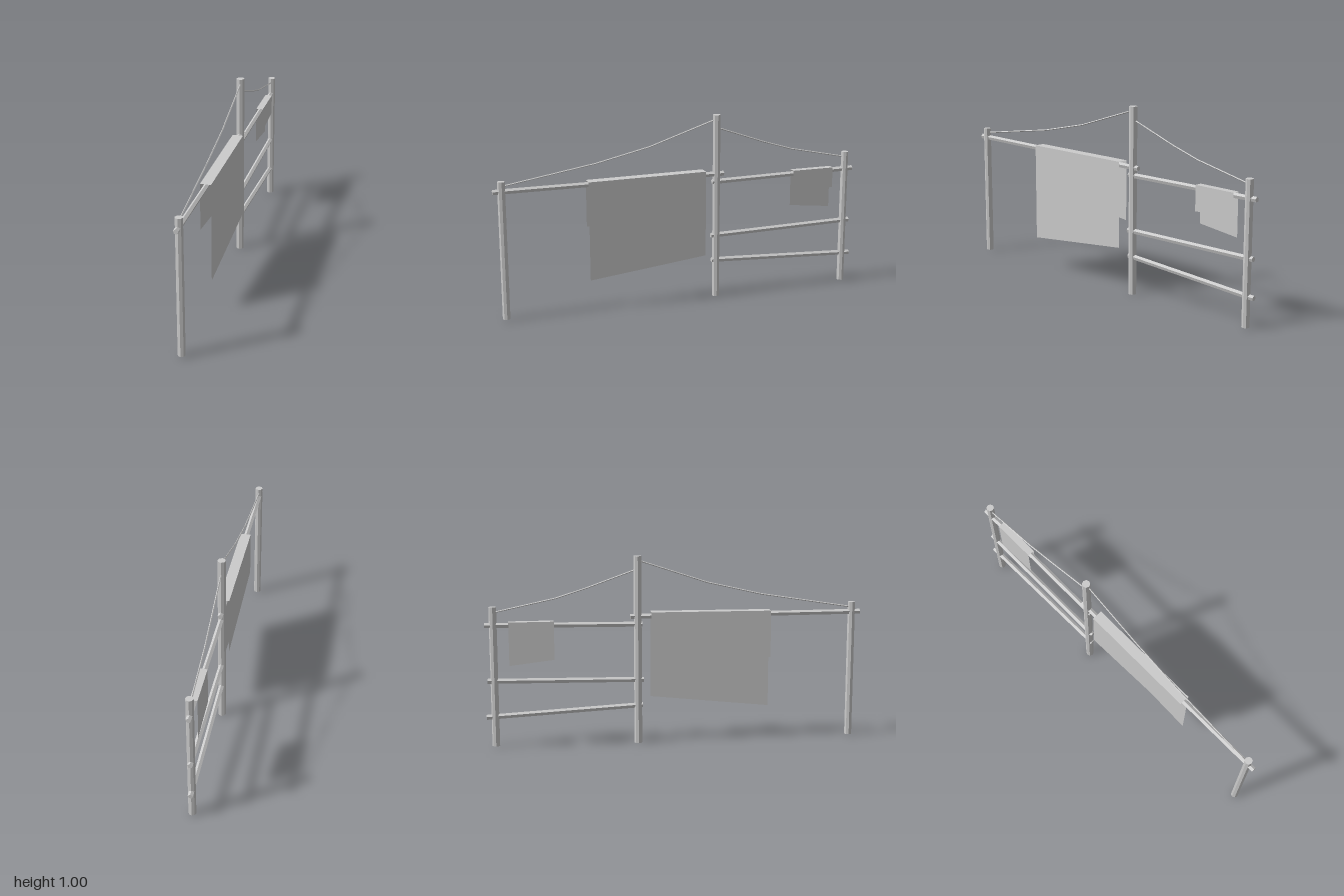
import * as THREE from 'three';

const mat = new THREE.MeshStandardMaterial({ color: 0xcccccc, flatShading: true });
const clothMat = new THREE.MeshStandardMaterial({ color: 0xcccccc, flatShading: true, side: THREE.DoubleSide });
const UP = new THREE.Vector3(0, 1, 0);

// Straight faceted pole between two points
function pole(name, a, b, radius, sides) {
  const from = new THREE.Vector3(...a), to = new THREE.Vector3(...b);
  const dir = to.clone().sub(from);
  const mesh = new THREE.Mesh(new THREE.CylinderGeometry(radius, radius, dir.length(), sides), mat);
  mesh.name = name;
  mesh.position.copy(from).add(to).multiplyScalar(0.5);
  mesh.quaternion.setFromUnitVectors(UP, dir.normalize());
  return mesh;
}

// Sagging line made of straight thin segments
function line(name, points) {
  const group = new THREE.Group();
  group.name = name;
  for (let i = 1; i < points.length; i++) {
    group.add(pole(name + 'Segment', points[i - 1], points[i], 0.004, 4));
  }
  return group;
}

// Sheet folded over a rail: each row is the cross-section [x, y] at one end z
function cloth(name, ends) {
  const pos = [], index = [];
  for (const { z, top, left, right, w } of ends) {
    pos.push(w, left, z, w, top, z, -w, top, z, -w, right, z);
  }
  for (let i = 0; i < 3; i++) index.push(i, i + 4, i + 1, i + 1, i + 4, i + 5);
  const geo = new THREE.BufferGeometry();
  geo.setAttribute('position', new THREE.Float32BufferAttribute(pos, 3));
  geo.setIndex(index);
  geo.computeVertexNormals();
  const mesh = new THREE.Mesh(geo, clothMat);
  mesh.name = name;
  return mesh;
}

export function createModel() {
  const model = new THREE.Group();
  model.name = 'dryingRack';

  // Upright posts
  model.add(
    pole('frontPost', [0, 0.008, 0.955], [0, 0.74, 0.955], 0.02, 8),
    pole('middlePost', [-0.003, 0, -0.2], [-0.003, 1.005, -0.2], 0.021, 8),
    pole('backPost', [0, 0.008, -0.955], [0, 0.75, -0.955], 0.02, 8),
  );

  // Horizontal rails
  const rails = [
    ['longRail', 1, 0.687, -0.24, 0.685],
    ['upperRail', -0.175, 0.643, -1, 0.654],
    ['middleRail', -0.17, 0.345, -0.99, 0.358],
    ['lowerRail', -0.175, 0.207, -1, 0.164],
  ];
  for (const [name, z0, y0, z1, y1] of rails) {
    model.add(pole(name, [-0.002, y0, z0], [-0.002, y1, z1], 0.014, 5));
  }

  // Lines strung between the post tops
  model.add(
    line('frontLine', [[-0.004, 0.715, 0.945], [-0.006, 0.793, 0.46], [-0.003, 0.86, 0.17], [0, 0.98, -0.19]]),
    line('backLine', [[-0.003, 0.935, -0.205], [-0.003, 0.84, -0.47], [-0.004, 0.79, -0.63], [-0.003, 0.722, -0.95]]),
  );

  // Cloths hanging over the rails
  model.add(
    cloth('largeCloth', [
      { z: 0.51, top: 0.705, left: 0.175, right: 0.455, w: 0.028 },
      { z: -0.13, top: 0.709, left: 0.245, right: 0.385, w: 0.028 },
    ]),
    cloth('smallCloth', [
      { z: -0.64, top: 0.67, left: 0.535, right: 0.467, w: 0.019 },
      { z: -0.875, top: 0.67, left: 0.56, right: 0.44, w: 0.019 },
    ]),
  );

  return model;
}
